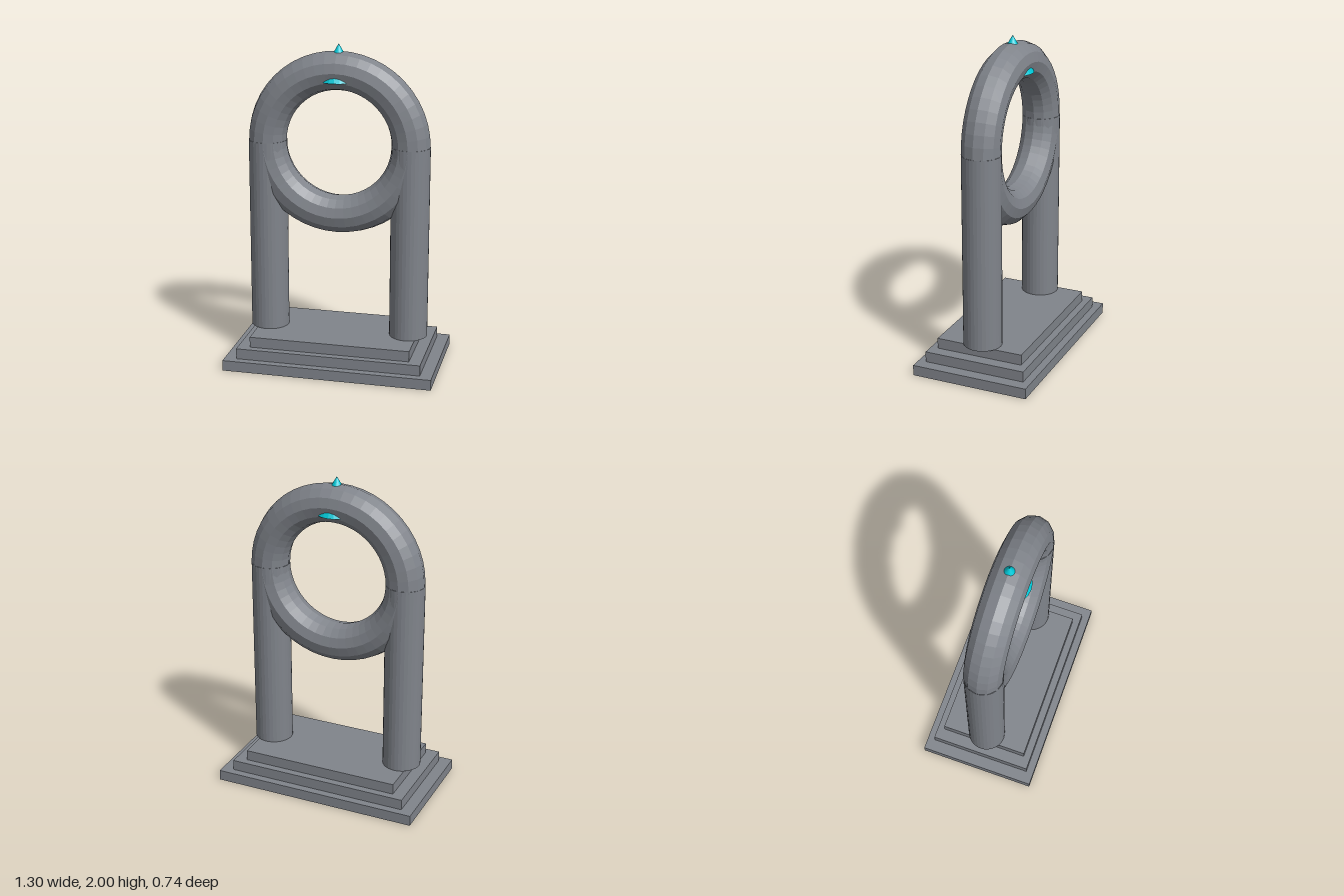
import * as THREE from 'three';

export function createModel() {
  const model = new THREE.Group();
  const stone = new THREE.MeshStandardMaterial({ color: 0x80848b, flatShading: true });
  stone.name = 'grey stone';
  const crystal = new THREE.MeshStandardMaterial({ color: 0x00c8d7, flatShading: true });
  crystal.name = 'cyan crystal';

  function add(name, geometry, material, x, y, z = 0) {
    const mesh = new THREE.Mesh(geometry, material);
    mesh.name = name;
    mesh.position.set(x, y, z);
    model.add(mesh);
    return mesh;
  }

  const ringY = 1.395, ringRadius = 0.443, tube = 0.118, baseTop = 0.198;

  // Stepped plinth
  const stepHeight = baseTop / 3;
  [[1.3, 0.74], [1.15, 0.645], [1.0, 0.555]].forEach(([w, d], i) => {
    add(`plinthStep${i + 1}`, new THREE.BoxGeometry(w, stepHeight, d), stone, 0, stepHeight * (i + 0.5));
  });

  // Two pillars rising to the middle of the ring
  const pillarHeight = ringY - baseTop;
  for (const [name, side] of [['leftPillar', 1], ['rightPillar', -1]]) {
    add(name, new THREE.CylinderGeometry(tube, tube, pillarHeight, 32), stone,
      side * ringRadius, baseTop + pillarHeight / 2);
  }

  // Upright ring
  add('ring', new THREE.TorusGeometry(ringRadius, tube, 12, 48), stone, 0, ringY);

  // Cone set through the top of the ring, its rim showing front and back
  add('crystalCone', new THREE.ConeGeometry(0.128, 0.22, 24), crystal, 0, 1.89);

  return model;
}
